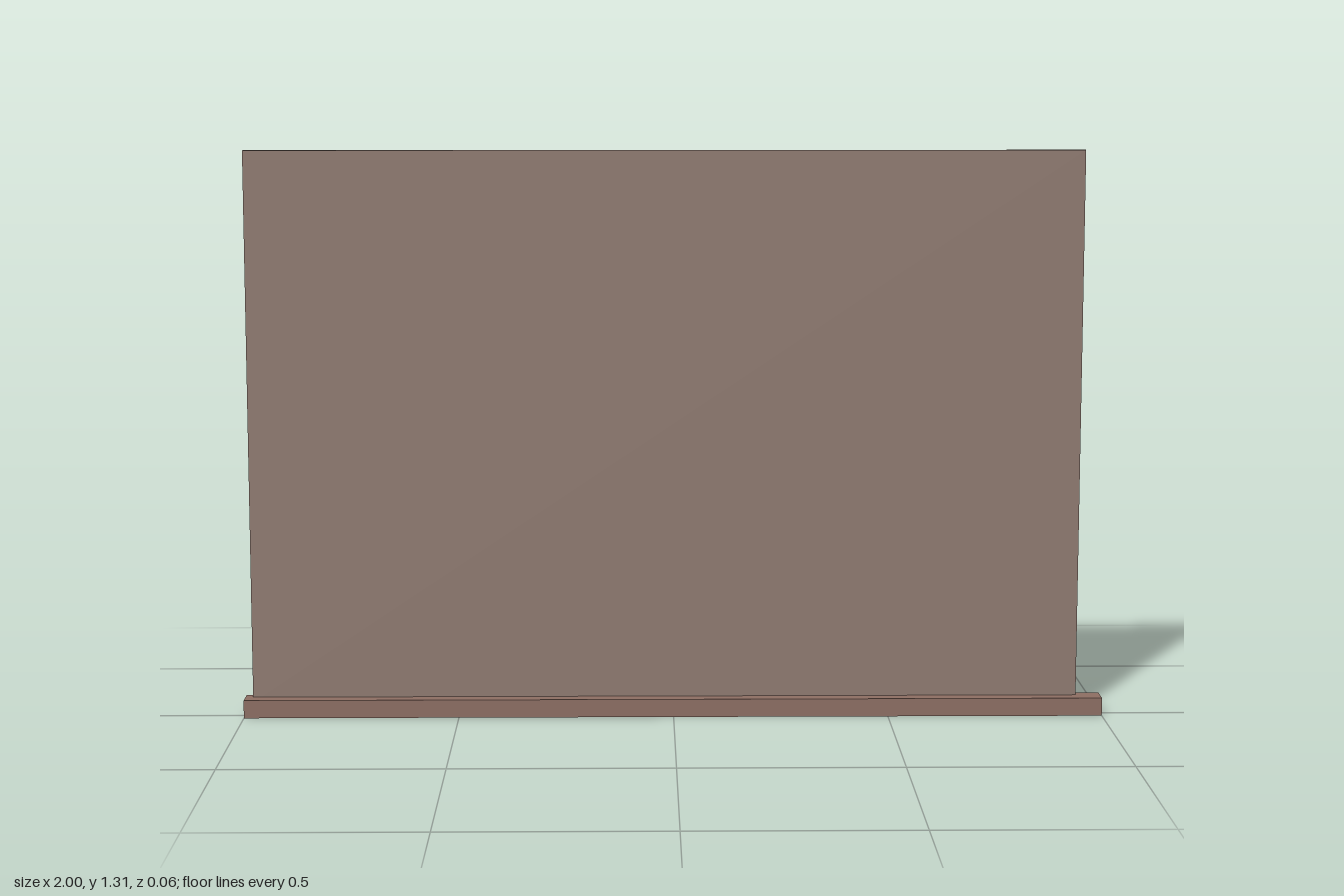
import * as THREE from 'three';

const RAIL = { length: 2, depth: 0.056, height: 0.042 };
const GROOVE = { bottom: 0.014, top: 0.03, depth: 0.009 };
const PANEL = { left: -0.982, right: 0.943, bottom: 0.03, top: 1.315, z: -0.011, thickness: 0.009 };

// Bottom rail: rectangular bar with a groove along its back
function createRail() {
  const h = RAIL.depth / 2;
  const inner = h - GROOVE.depth;
  const profile = new THREE.Shape([
    [-h, 0], [h, 0], [h, GROOVE.bottom], [inner, GROOVE.bottom],
    [inner, GROOVE.top], [h, GROOVE.top], [h, RAIL.height], [-h, RAIL.height],
  ].map(([x, y]) => new THREE.Vector2(x, y)));
  const geometry = new THREE.ExtrudeGeometry(profile, { depth: RAIL.length, bevelEnabled: false });
  geometry.translate(0, 0, -RAIL.length / 2).rotateY(Math.PI / 2);
  const rail = new THREE.Mesh(geometry, new THREE.MeshStandardMaterial({ color: 0x8d6e63 }));
  rail.name = 'bottomRail';
  return rail;
}

// Thin upright sheet seated in the rail
function createPanel() {
  const { left, right, bottom, top, z, thickness } = PANEL;
  const panel = new THREE.Mesh(
    new THREE.BoxGeometry(right - left, top - bottom, thickness),
    new THREE.MeshStandardMaterial({ color: 0x8f7a70 }),
  );
  panel.position.set((left + right) / 2, (top + bottom) / 2, z);
  panel.name = 'panel';
  return panel;
}

export function createModel() {
  const model = new THREE.Group();
  model.name = 'panelOnRail';
  model.add(createRail(), createPanel());
  return model;
}
